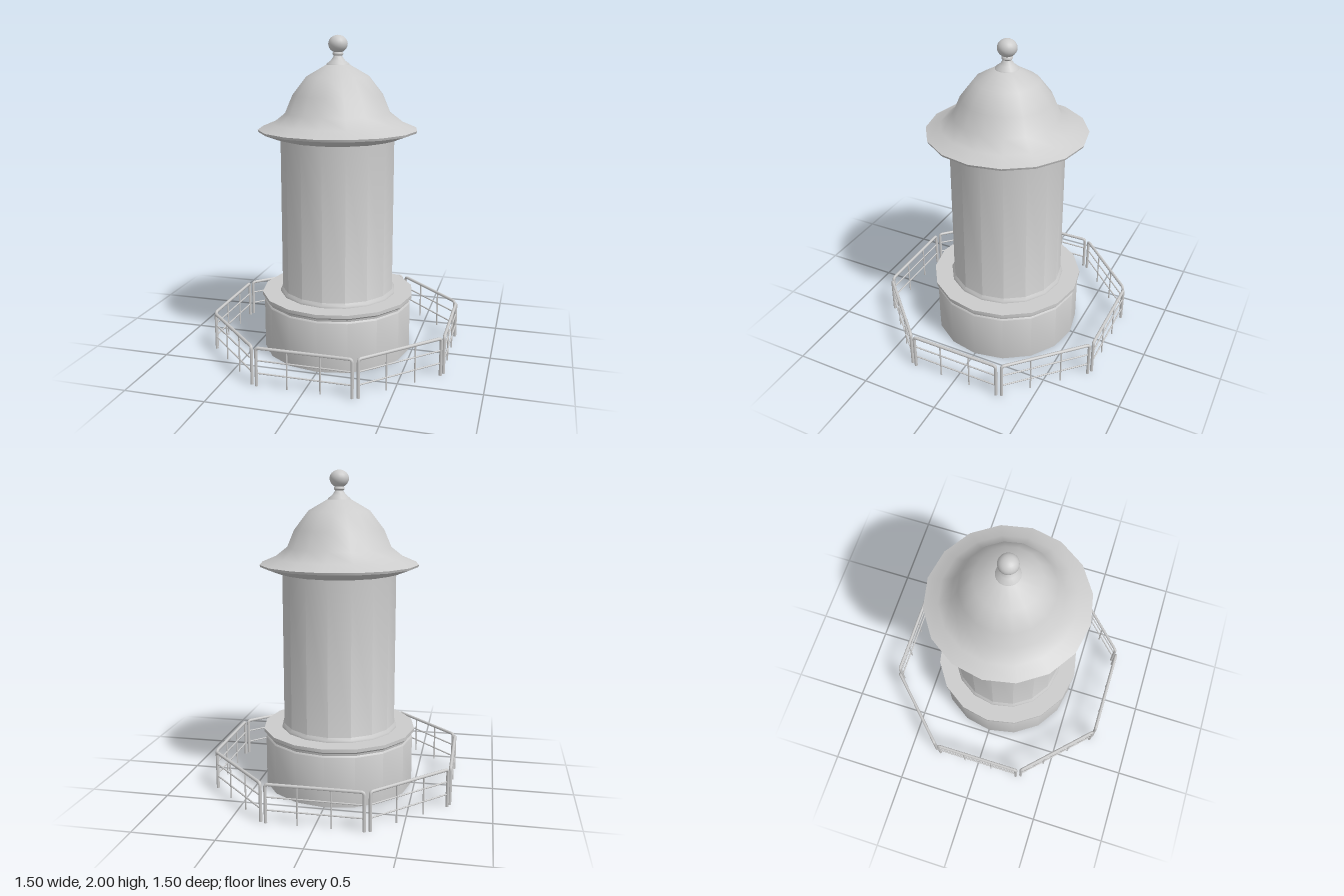
import * as THREE from 'three';
import { toCreasedNormals } from 'three/addons/utils/BufferGeometryUtils.js';

const SIDES = 16;
const material = new THREE.MeshStandardMaterial({ color: 0xcccccc, side: THREE.DoubleSide });

function addMesh(parent, name, geometry) {
  const mesh = new THREE.Mesh(geometry, material);
  mesh.name = name;
  parent.add(mesh);
  return mesh;
}

// Turned part from [radius, height] pairs, listed bottom to top
function turned(profile, sides = SIDES) {
  const points = profile.map(([r, y]) => new THREE.Vector2(r, y));
  return toCreasedNormals(new THREE.LatheGeometry(points, sides), 0.75);
}

// One railing panel, centred on x, standing on the ground
function railingPanel() {
  const panel = new THREE.Group();
  const w = 0.288, h = 0.237, c = 0.018;
  const v = (x, y) => new THREE.Vector3(x, y, 0);

  // Bent tube frame with rounded upper corners
  const path = new THREE.CurvePath();
  path.add(new THREE.LineCurve3(v(-w, 0), v(-w, h - c)));
  path.add(new THREE.QuadraticBezierCurve3(v(-w, h - c), v(-w, h), v(-w + c, h)));
  path.add(new THREE.LineCurve3(v(-w + c, h), v(w - c, h)));
  path.add(new THREE.QuadraticBezierCurve3(v(w - c, h), v(w, h), v(w, h - c)));
  path.add(new THREE.LineCurve3(v(w, h - c), v(w, 0)));
  addMesh(panel, 'railingFrame', new THREE.TubeGeometry(path, 120, 0.01, 8));

  // Thin horizontal rails and upright bars
  for (const y of [0.08, 0.16]) {
    const rail = addMesh(panel, 'railingRail', new THREE.CylinderGeometry(0.005, 0.005, 2 * w, 8));
    rail.rotation.z = Math.PI / 2;
    rail.position.y = y;
  }
  for (const x of [-0.1, 0.1]) {
    const bar = addMesh(panel, 'railingBar', new THREE.CylinderGeometry(0.005, 0.005, h, 8));
    bar.position.set(x, h / 2, 0);
  }
  return panel;
}

export function createModel() {
  const model = new THREE.Group();
  model.name = 'tower';

  // Hollow base with a moulded ledge
  addMesh(model, 'base', turned([
    [0.478, 0], [0.478, 0.315], [0.47, 0.325], [0.472, 0.338],
    [0.49, 0.352], [0.49, 0.373], [0.375, 0.373],
  ]));

  // Tower shaft with a small flared foot
  addMesh(model, 'shaft', turned([
    [0.375, 0.373], [0.373, 0.385], [0.36, 0.4], [0.36, 1.37],
  ]));

  // Bell-shaped roof with overhanging eaves
  addMesh(model, 'roof', turned([
    [0.358, 1.365], [0.42, 1.383], [0.495, 1.412], [0.5, 1.426], [0.41, 1.464],
    [0.33, 1.527], [0.283, 1.638], [0.196, 1.75], [0.075, 1.82], [0, 1.83],
  ]));

  // Finial: flared stem, collar and ball
  addMesh(model, 'finialStem', turned([
    [0.075, 1.815], [0.07, 1.827], [0.045, 1.846], [0.031, 1.865], [0.026, 1.875],
    [0.034, 1.883], [0.034, 1.89], [0.026, 1.9],
  ]));
  const ball = addMesh(model, 'finialBall', new THREE.SphereGeometry(0.06, 20, 14));
  ball.scale.y = 0.9;
  ball.position.y = 1.946;

  // Octagonal ring of railing panels
  const railing = new THREE.Group();
  railing.name = 'railing';
  for (let i = 0; i < 8; i++) {
    const a = i * Math.PI / 4;
    const panel = railingPanel();
    panel.name = 'railingPanel';
    panel.position.set(0.742 * Math.sin(a), 0, 0.742 * Math.cos(a));
    panel.rotation.y = a;
    railing.add(panel);
  }
  model.add(railing);
  return model;
}
